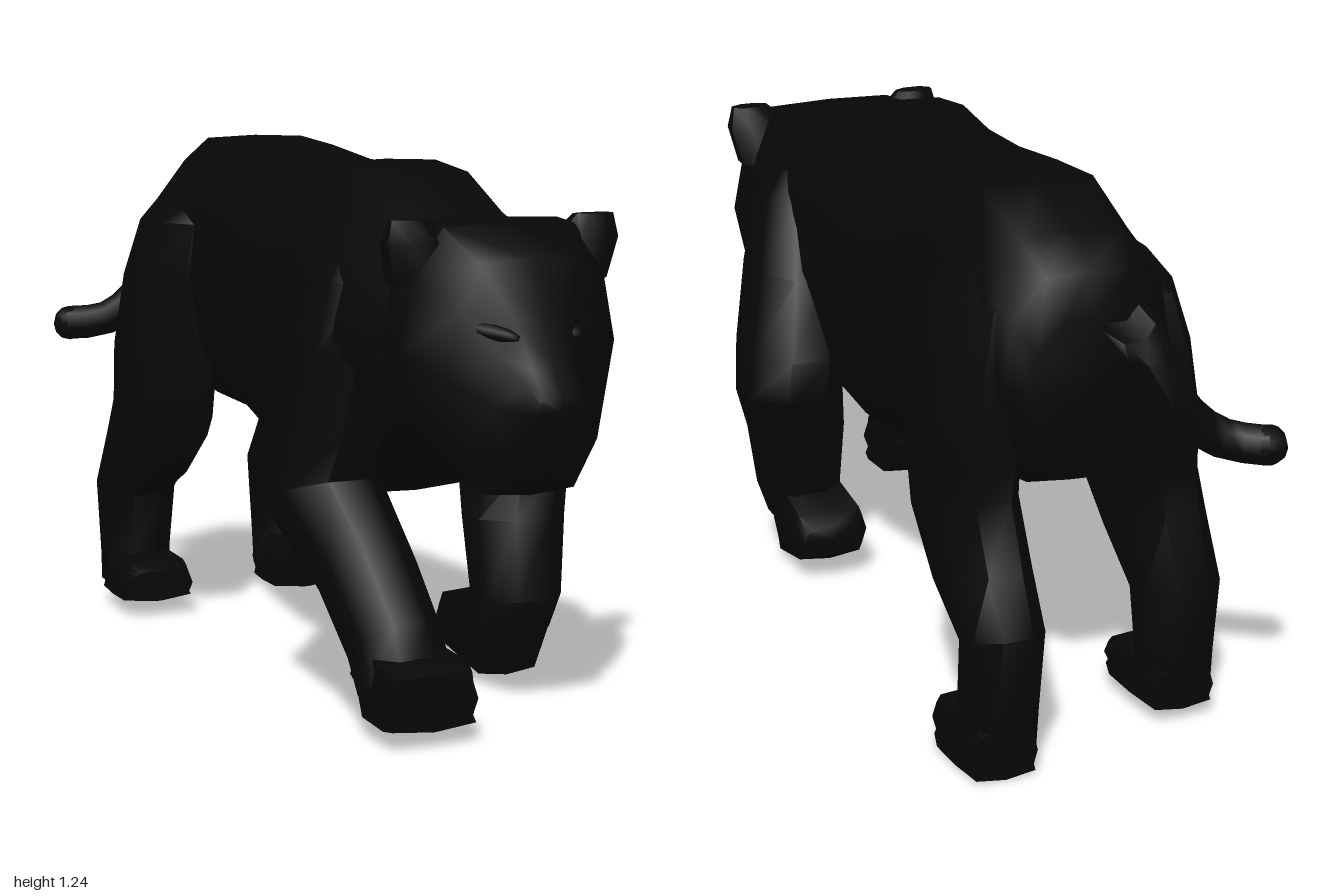
import * as THREE from 'three';
import { toCreasedNormals } from 'three/addons/utils/BufferGeometryUtils.js';

// Skin a list of equal-sized point rings, closed at both ends, facing outward.
function loft(rings) {
  const n = rings[0].length, pos = [], idx = [];
  rings.forEach(r => r.forEach(p => pos.push(...p)));
  for (let i = 0; i < rings.length - 1; i++) {
    for (let j = 0; j < n; j++) {
      const a = i * n + j, b = i * n + (j + 1) % n;
      idx.push(a, b, b + n, a, b + n, a + n);
    }
  }
  [0, rings.length - 1].forEach((r, end) => {
    const c = pos.length / 3;
    for (let k = 0; k < 3; k++) pos.push(rings[r].reduce((s, p) => s + p[k], 0) / n);
    for (let j = 0; j < n; j++) {
      const a = r * n + j, b = r * n + (j + 1) % n;
      idx.push(c, end ? a : b, end ? b : a);
    }
  });
  // flip the triangles if the enclosed volume is negative
  const v = i => new THREE.Vector3().fromArray(pos, i * 3);
  let volume = 0;
  for (let t = 0; t < idx.length; t += 3) volume += v(idx[t]).dot(v(idx[t + 1]).cross(v(idx[t + 2])));
  if (volume < 0) idx.reverse();
  const g = new THREE.BufferGeometry();
  g.setAttribute('position', new THREE.Float32BufferAttribute(pos, 3));
  g.setIndex(idx);
  return toCreasedNormals(g, 0.9);
}

// Upright cross-section: bottom, top, and half widths at top, middle and bottom.
function section(x, [z, yB, yT, wT, w, wB]) {
  const h = yT - yB;
  const half = [[wT, yT - 0.005], [w * 0.88, yB + h * 0.8], [w, yB + h * 0.5], [w * 0.88, yB + h * 0.22], [wB, yB + 0.01]];
  return [
    [x, yT, z], ...half.map(([a, y]) => [x + a, y, z]),
    [x, yB, z], ...half.reverse().map(([a, y]) => [x - a, y, z]),
  ];
}
const sections = (x, rows) => loft(rows.map(r => section(x, r)));

// Limb cross-section: centre, half width, half depth, and forward pitch.
function limb(rows) {
  return loft(rows.map(([x, y, z, a, b, pitch = 0]) => {
    const ring = [];
    for (let i = 0; i < 8; i++) {
      const t = (i + 0.5) / 8 * Math.PI * 2;
      const u = Math.cos(t) * a * 1.08, d = Math.sin(t) * b * 1.08;
      ring.push([x + u, y + d * Math.sin(pitch), z + d * Math.cos(pitch)]);
    }
    return ring;
  }));
}

export function createModel() {
  const group = new THREE.Group();
  const fur = new THREE.MeshStandardMaterial({ color: 0x070707 });
  fur.name = 'black fur';
  const add = (name, geometry) => {
    const m = new THREE.Mesh(geometry, fur);
    m.name = name;
    group.add(m);
    return m;
  };

  // Torso from neck to rump
  add('torso', sections(-0.02, [
    [0.68, 0.62, 1.07, 0.12, 0.245, 0.10],
    [0.56, 0.57, 1.11, 0.12, 0.28, 0.11],
    [0.38, 0.46, 1.19, 0.13, 0.295, 0.13],
    [0.22, 0.43, 1.21, 0.13, 0.275, 0.13],
    [0.06, 0.45, 1.19, 0.13, 0.27, 0.13],
    [-0.12, 0.50, 1.195, 0.13, 0.255, 0.12],
    [-0.33, 0.56, 1.22, 0.13, 0.225, 0.11],
    [-0.52, 0.57, 1.235, 0.13, 0.245, 0.11],
    [-0.70, 0.60, 1.17, 0.12, 0.235, 0.10],
    [-0.79, 0.64, 1.11, 0.10, 0.20, 0.09],
    [-0.825, 0.72, 1.02, 0.07, 0.15, 0.07],
  ]));

  // Head and muzzle
  add('head', sections(0, [
    [0.54, 0.66, 1.09, 0.14, 0.21, 0.11],
    [0.66, 0.60, 1.105, 0.18, 0.26, 0.14],
    [0.77, 0.57, 1.10, 0.16, 0.265, 0.14],
    [0.865, 0.525, 1.03, 0.12, 0.19, 0.11],
    [0.92, 0.555, 0.90, 0.06, 0.115, 0.08],
    [0.965, 0.63, 0.81, 0.05, 0.075, 0.06],
    [1.0, 0.69, 0.755, 0.045, 0.058, 0.035],
  ]));
  for (const s of [1, -1]) {
    const side = s > 0 ? 'left' : 'right';
    // wide wedge ears
    add(side + 'Ear', limb([
      [s * 0.185, 0.97, 0.72, 0.075, 0.055],
      [s * 0.205, 1.06, 0.735, 0.077, 0.045],
      [s * 0.225, 1.112, 0.74, 0.046, 0.022],
    ]));
    const brow = add(side + 'Brow', new THREE.SphereGeometry(1, 8, 5));
    brow.scale.set(0.07, 0.018, 0.018);
    brow.position.set(s * 0.115, 0.885, 0.89);
    brow.rotation.set(0, s * 0.7, s * 0.2);
  }

  // Forelegs: left bent back, right reaching forward
  add('leftForeleg', limb([
    [0.18, 1.03, 0.45, 0.07, 0.07],
    [0.20, 0.96, 0.45, 0.095, 0.11],
    [0.24, 0.80, 0.40, 0.10, 0.16],
    [0.275, 0.62, 0.32, 0.115, 0.165],
    [0.29, 0.51, 0.28, 0.12, 0.14, -0.1],
    [0.25, 0.38, 0.355, 0.115, 0.10],
    [0.225, 0.20, 0.415, 0.10, 0.09],
    [0.21, 0.12, 0.41, 0.09, 0.075],
  ]));
  add('leftForepaw', sections(0.205, [
    [0.52, 0.16, 0.20, 0.055, 0.065, 0.055],
    [0.41, 0.008, 0.21, 0.075, 0.09, 0.075],
    [0.24, 0.05, 0.185, 0.08, 0.10, 0.08],
    [0.205, 0.075, 0.155, 0.05, 0.08, 0.06],
  ]));
  add('rightForeleg', limb([
    [-0.19, 1.03, 0.46, 0.07, 0.07],
    [-0.21, 0.96, 0.46, 0.09, 0.11],
    [-0.23, 0.80, 0.43, 0.10, 0.16],
    [-0.25, 0.62, 0.39, 0.115, 0.17],
    [-0.265, 0.48, 0.39, 0.125, 0.15, 0.3],
    [-0.245, 0.32, 0.585, 0.105, 0.10, 0.75],
    [-0.24, 0.19, 0.71, 0.10, 0.095, 0.7],
    [-0.235, 0.10, 0.75, 0.10, 0.08, 0.3],
  ]));
  add('rightForepaw', sections(-0.23, [
    [0.66, 0.09, 0.16, 0.08, 0.095, 0.08],
    [0.73, 0.035, 0.19, 0.09, 0.105, 0.10],
    [0.84, 0.03, 0.175, 0.10, 0.11, 0.105],
    [0.875, 0.035, 0.16, 0.09, 0.105, 0.10],
  ]));

  // Hind legs: left pushing back, right stepping forward
  add('leftHindLeg', limb([
    [0.12, 1.10, -0.58, 0.06, 0.12],
    [0.145, 1.02, -0.575, 0.085, 0.17],
    [0.17, 0.88, -0.58, 0.10, 0.19],
    [0.19, 0.70, -0.60, 0.105, 0.195],
    [0.195, 0.56, -0.625, 0.10, 0.17, -0.3],
    [0.20, 0.43, -0.74, 0.095, 0.135, -0.35],
    [0.20, 0.33, -0.85, 0.085, 0.095, -0.3],
    [0.20, 0.14, -0.83, 0.085, 0.07],
    [0.20, 0.05, -0.82, 0.085, 0.07],
  ]));
  add('leftHindPaw', sections(0.205, [
    [-0.89, 0.0, 0.12, 0.06, 0.075, 0.07],
    [-0.80, 0.0, 0.15, 0.07, 0.09, 0.085],
    [-0.71, 0.0, 0.13, 0.075, 0.095, 0.09],
    [-0.67, 0.01, 0.12, 0.065, 0.085, 0.08],
  ]));
  add('rightHindLeg', limb([
    [-0.17, 1.09, -0.58, 0.06, 0.12],
    [-0.20, 1.02, -0.58, 0.085, 0.17],
    [-0.225, 0.88, -0.59, 0.10, 0.19],
    [-0.24, 0.70, -0.595, 0.11, 0.20],
    [-0.26, 0.54, -0.57, 0.105, 0.195, -0.25],
    [-0.27, 0.44, -0.63, 0.10, 0.15, -0.4],
    [-0.275, 0.32, -0.73, 0.095, 0.09, -0.2],
    [-0.28, 0.15, -0.725, 0.085, 0.07],
    [-0.28, 0.07, -0.72, 0.085, 0.07],
  ]));
  add('rightHindPaw', sections(-0.275, [
    [-0.79, 0.03, 0.13, 0.06, 0.075, 0.07],
    [-0.69, 0.03, 0.15, 0.07, 0.09, 0.085],
    [-0.59, 0.03, 0.14, 0.075, 0.095, 0.09],
    [-0.55, 0.04, 0.12, 0.065, 0.085, 0.08],
  ]));

  // Tail curling out to the right
  add('tail', limb([
    [-0.05, 1.08, -0.72, 0.065, 0.07, 1.0],
    [-0.075, 1.02, -0.855, 0.06, 0.06, 0.75],
    [-0.11, 0.95, -0.888, 0.055, 0.053, 0.2],
    [-0.18, 0.82, -0.895, 0.052, 0.047],
  ]));
  const path = [
    [-0.14, 0.88, -0.893], [-0.22, 0.78, -0.895], [-0.29, 0.735, -0.91], [-0.37, 0.725, -0.955],
  ].map(p => new THREE.Vector3(...p));
  add('tailEnd', new THREE.TubeGeometry(new THREE.CatmullRomCurve3(path), 6, 0.045, 7));
  add('tailTip', new THREE.SphereGeometry(0.045, 8, 6)).position.copy(path[3]);

  return group;
}
